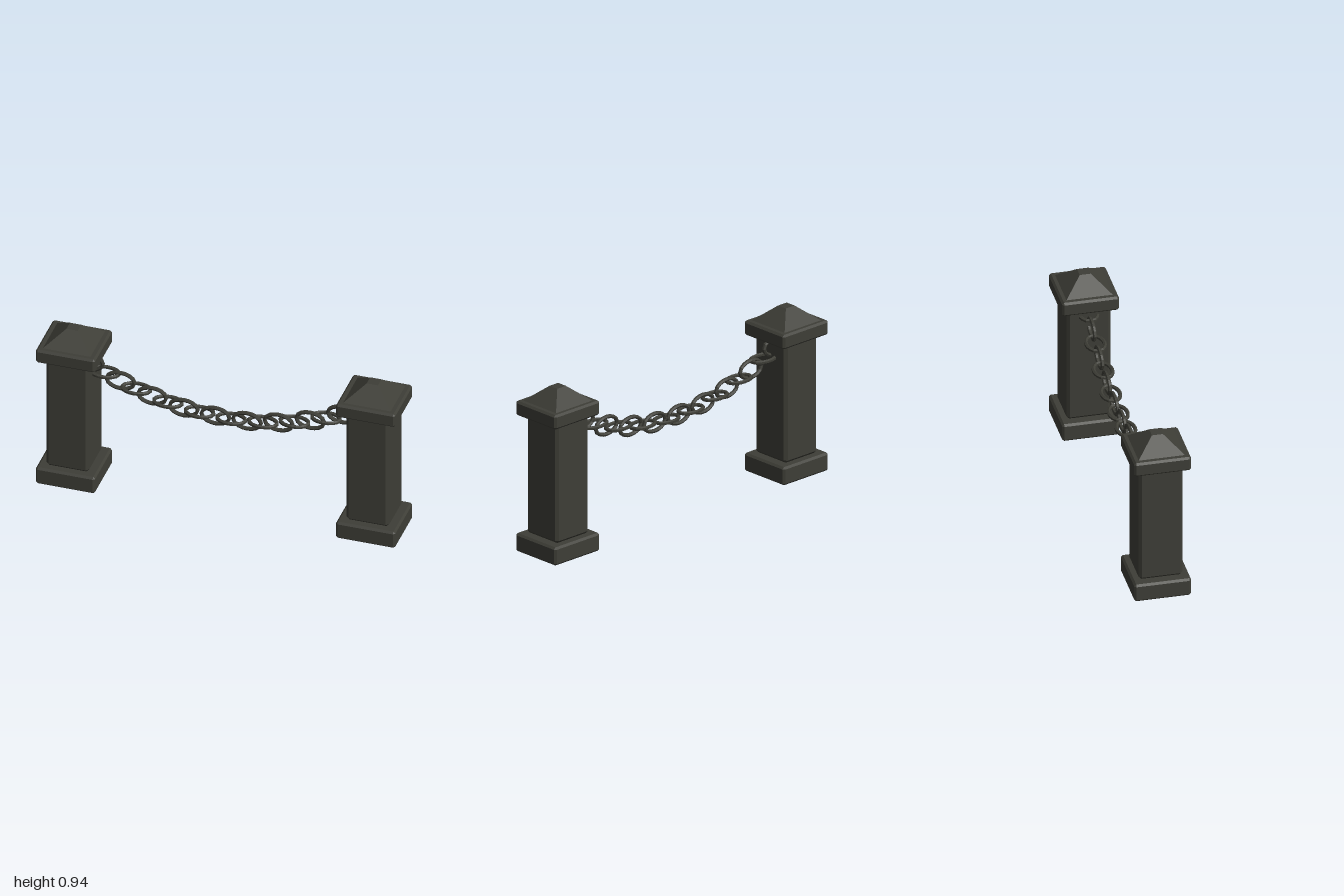
import * as THREE from 'three';
import { ConvexGeometry } from 'three/addons/geometries/ConvexGeometry.js';

const iron = new THREE.MeshStandardMaterial({ color: 0x3e3e37, flatShading: true });
iron.name = 'dark iron';

// Box with chamfered edges: the hull of three points per corner
function chamferBox(w, h, d, c) {
  const points = [];
  for (const sx of [-1, 1]) for (const sy of [-1, 1]) for (const sz of [-1, 1]) {
    const x = w / 2, y = h / 2, z = d / 2;
    points.push(
      new THREE.Vector3(sx * x, sy * (y - c), sz * (z - c)),
      new THREE.Vector3(sx * (x - c), sy * y, sz * (z - c)),
      new THREE.Vector3(sx * (x - c), sy * (y - c), sz * z));
  }
  return new ConvexGeometry(points);
}

function add(parent, name, geometry, x, y) {
  const mesh = new THREE.Mesh(geometry, iron);
  mesh.name = name;
  mesh.position.set(x, y, 0);
  parent.add(mesh);
  return mesh;
}

// Closed oval ring, used for every chain link
class Oval extends THREE.Curve {
  getPoint(t, target = new THREE.Vector3()) {
    const a = t * Math.PI * 2;
    return target.set(0.078 * Math.cos(a), 0.049 * Math.sin(a), 0);
  }
}

export function createModel() {
  const model = new THREE.Group();
  model.name = 'chainBarrier';

  // Posts
  const base = chamferBox(0.33, 0.103, 0.31, 0.011);
  const shaft = chamferBox(0.238, 0.675, 0.24, 0.016);
  const cap = chamferBox(0.33, 0.082, 0.31, 0.011);
  const roof = new THREE.CylinderGeometry(0.03 * Math.SQRT2, 0.127 * Math.SQRT2, 0.085, 4, 1, false, Math.PI / 4);
  roof.scale(1.05, 1, 1);
  for (const [side, name] of [[-1, 'rightPost'], [1, 'leftPost']]) {
    const post = new THREE.Group();
    post.name = name;
    post.position.x = side * 0.835;
    add(post, 'base', base, 0, 0.0515);
    add(post, 'shaft', shaft, 0, 0.44);
    add(post, 'cap', cap, 0, 0.815);
    add(post, 'capPyramid', roof, 0, 0.8975);
    model.add(post);
  }

  // Sagging chain of links, alternately upright and flat
  const link = new THREE.TubeGeometry(new Oval(), 16, 0.011, 6, true);
  const heights = [0.735, 0.686, 0.65, 0.617, 0.59, 0.569, 0.55, 0.541, 0.536,
    0.534, 0.539, 0.55, 0.566, 0.589, 0.617, 0.65, 0.69, 0.732];
  const chain = new THREE.Group();
  chain.name = 'chain';
  heights.forEach((y, i) => {
    const flat = i % 2 === 1;
    const mesh = add(chain, flat ? 'flatLink' : 'uprightLink', link, -0.751 + i * 0.0879, y);
    if (flat) mesh.rotation.x = Math.PI / 2;
  });
  model.add(chain);
  return model;
}
